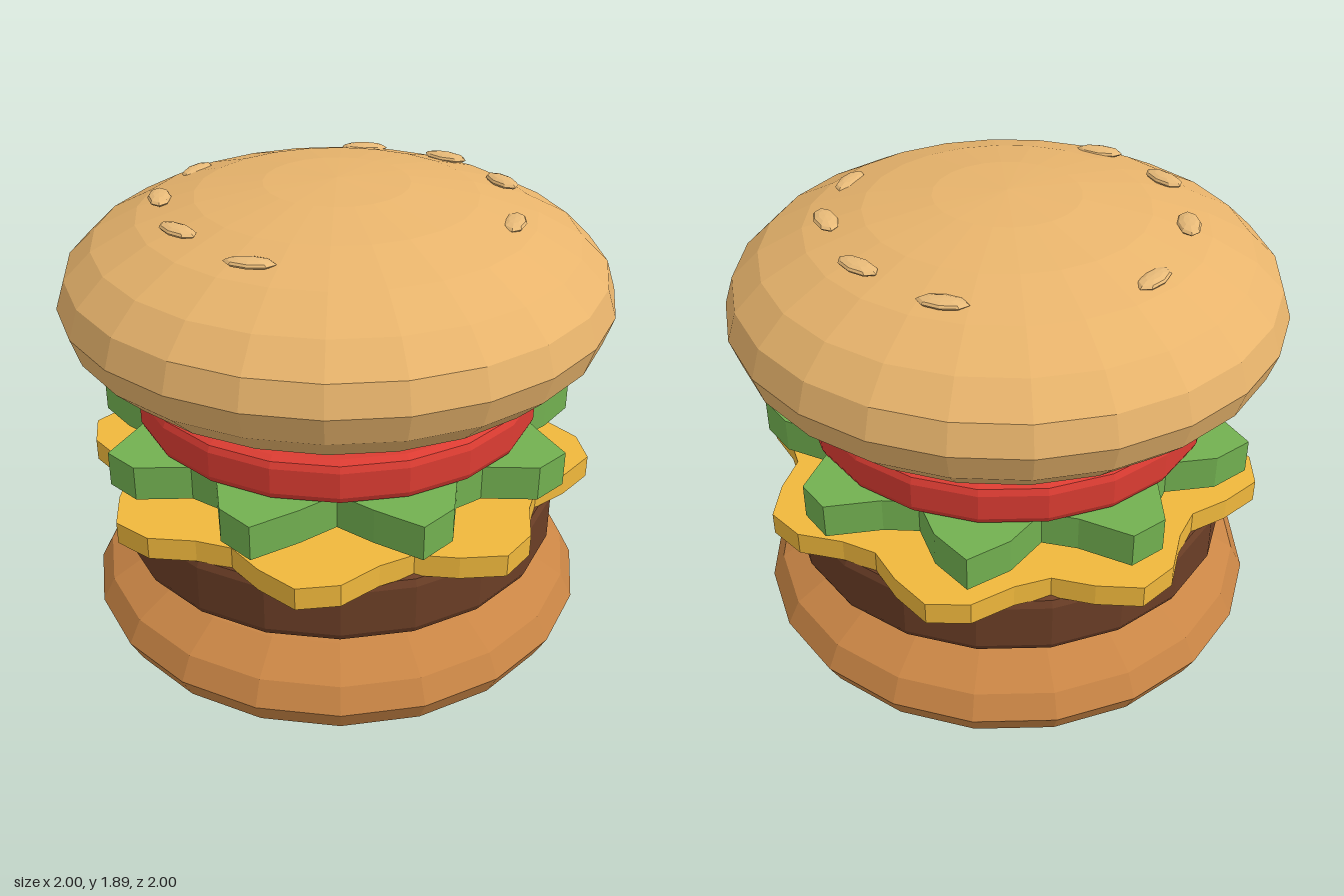
import * as THREE from 'three';

const paint = (color) => new THREE.MeshStandardMaterial({ color, flatShading: true });

function addPart(group, name, geometry, color) {
  const mesh = new THREE.Mesh(geometry, paint(color));
  mesh.name = name;
  group.add(mesh);
  return mesh;
}

// Squashed faceted ball for a bun half
function bun(radius, height, y, sides, rings) {
  return new THREE.SphereGeometry(1, sides, rings).scale(radius, height, radius).translate(0, y, 0);
}

// Round slab with softened rims
function disc(r, y0, y1, bevel) {
  const b = bevel;
  const profile = [
    [0, y0], [r - b, y0], [r - b * 0.3, y0 + b * 0.35], [r, y0 + b],
    [r, y1 - b], [r - b * 0.3, y1 - b * 0.35], [r - b, y1], [0, y1],
  ].map(([x, y]) => new THREE.Vector2(x, y));
  return new THREE.LatheGeometry(profile, 20);
}

// Flat slice whose outline waves in and out
function wavySlice(radius, wave, lobes, y0, y1) {
  const points = [];
  for (let i = 0; i < 40; i++) {
    const a = (i / 40) * Math.PI * 2;
    const r = radius + wave * Math.sin(a * lobes);
    points.push(new THREE.Vector2(Math.cos(a) * r, Math.sin(a) * r));
  }
  return new THREE.ExtrudeGeometry(new THREE.Shape(points), { depth: y1 - y0, bevelEnabled: false })
    .rotateX(-Math.PI / 2)
    .translate(0, y0, 0);
}

export function createModel() {
  const group = new THREE.Group();
  group.name = 'burger';

  // Layers from the bottom up
  addPart(group, 'bottomBun', bun(0.955, 0.29, 0.29, 20, 10), 0xc98545);
  addPart(group, 'patty', disc(0.84, 0.51, 0.763, 0.04), 0x6b3e26);
  addPart(group, 'cheese', wavySlice(0.885, 0.08, 8, 0.75, 0.835), 0xf0b83c);
  addPart(group, 'lettuce', wavySlice(0.8, 0.12, 9, 0.89, 1.02), 0x72b050).rotation.y = 0.3;
  addPart(group, 'tomato', disc(0.75, 1.015, 1.18, 0.035), 0xdc3c32);
  addPart(group, 'topBun', bun(1, 0.4, 1.49, 24, 12), 0xe8b46c);

  // Seeds lying flat in a ring on the top bun: x, y, z, turn about y
  const seeds = new THREE.Group();
  seeds.name = 'seeds';
  group.add(seeds);
  const seedGeometry = new THREE.SphereGeometry(1, 8, 6).scale(0.088, 0.016, 0.042);
  const places = [
    [0.63, 1.795, 0, -1.5], [0.52, 1.817, -0.34, -0.8], [0.26, 1.812, -0.565, -0.3],
    [-0.08, 1.798, -0.63, 0.2], [-0.61, 1.79, -0.2, 1.4], [-0.6, 1.812, 0.17, -1.15],
    [-0.405, 1.82, 0.46, -0.5], [-0.095, 1.806, 0.615, 0.1],
  ];
  for (const [x, y, z, turn] of places) {
    const seed = addPart(seeds, 'seed', seedGeometry, 0xe8ba78);
    seed.position.set(x, y, z);
    seed.rotation.y = turn;
  }
  return group;
}
